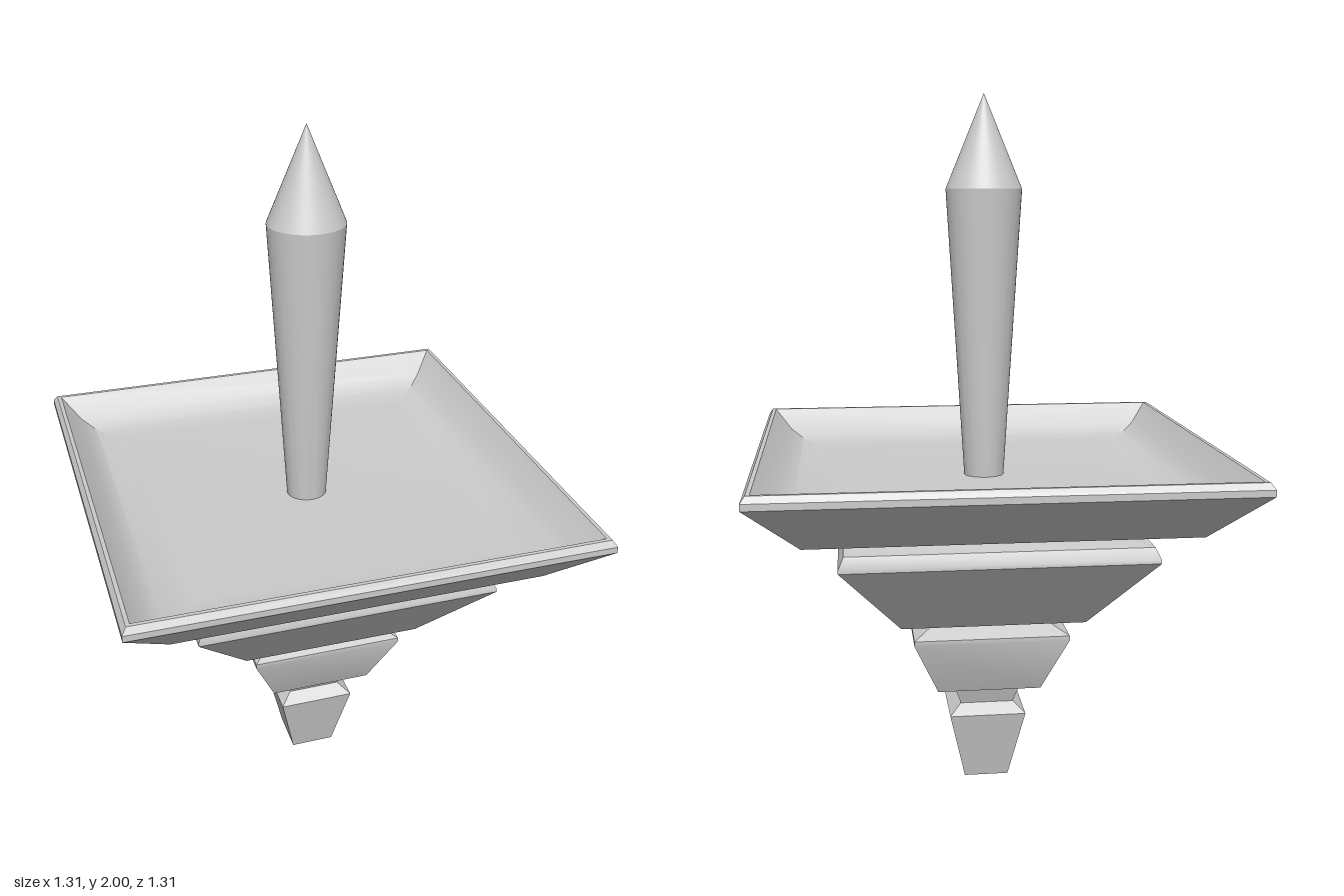
import * as THREE from 'three';
import { toCreasedNormals } from 'three/addons/utils/BufferGeometryUtils.js';

const material = new THREE.MeshStandardMaterial({ color: 0xcccccc });

// Square tier from a profile of [half-width, height], bottom to top
function squareTier(name, profile) {
  const points = profile.map(([w, y]) => new THREE.Vector2(w * Math.SQRT2, y));
  const geometry = new THREE.LatheGeometry(points, 4).rotateY(Math.PI / 4);
  const mesh = new THREE.Mesh(toCreasedNormals(geometry, 0.6), material);
  mesh.name = name;
  return mesh;
}

export function createModel() {
  const group = new THREE.Group();
  group.name = 'spikedCandleHolder';

  // Stepped base, each tier meeting the next at its narrow neck
  group.add(squareTier('foot', [
    [0, 0], [0.065, 0], [0.112, 0.21], [0.078, 0.238],
  ]));
  group.add(squareTier('lowerTier', [
    [0.078, 0.238], [0.1, 0.305], [0.15, 0.305], [0.222, 0.473], [0.222, 0.487], [0.157, 0.52],
  ]));
  group.add(squareTier('middleTier', [
    [0.157, 0.52], [0.17, 0.54], [0.26, 0.54], [0.43, 0.755], [0.43, 0.765], [0.415, 0.797], [0.36, 0.813],
  ]));

  // Drip tray with a rounded rim and a hollow, softly curved floor
  group.add(squareTier('dripTray', [
    [0.36, 0.813], [0.39, 0.85], [0.52, 0.85], [0.655, 0.985], [0.655, 1.003], [0.643, 1.02], [0.632, 1.02],
    [0.58, 0.96], [0.54, 0.935], [0.49, 0.922], [0.44, 0.92], [0, 0.92],
  ]));

  // Round spike, wider towards the pointed tip
  const spikePoints = [[0.057, 0.91], [0.108, 1.74], [0, 2]].map(([r, y]) => new THREE.Vector2(r, y));
  const spikeGeometry = new THREE.LatheGeometry(spikePoints, 48).scale(1, 1, 0.96);
  const spike = new THREE.Mesh(toCreasedNormals(spikeGeometry, 0.35), material);
  spike.name = 'spike';
  group.add(spike);

  return group;
}
